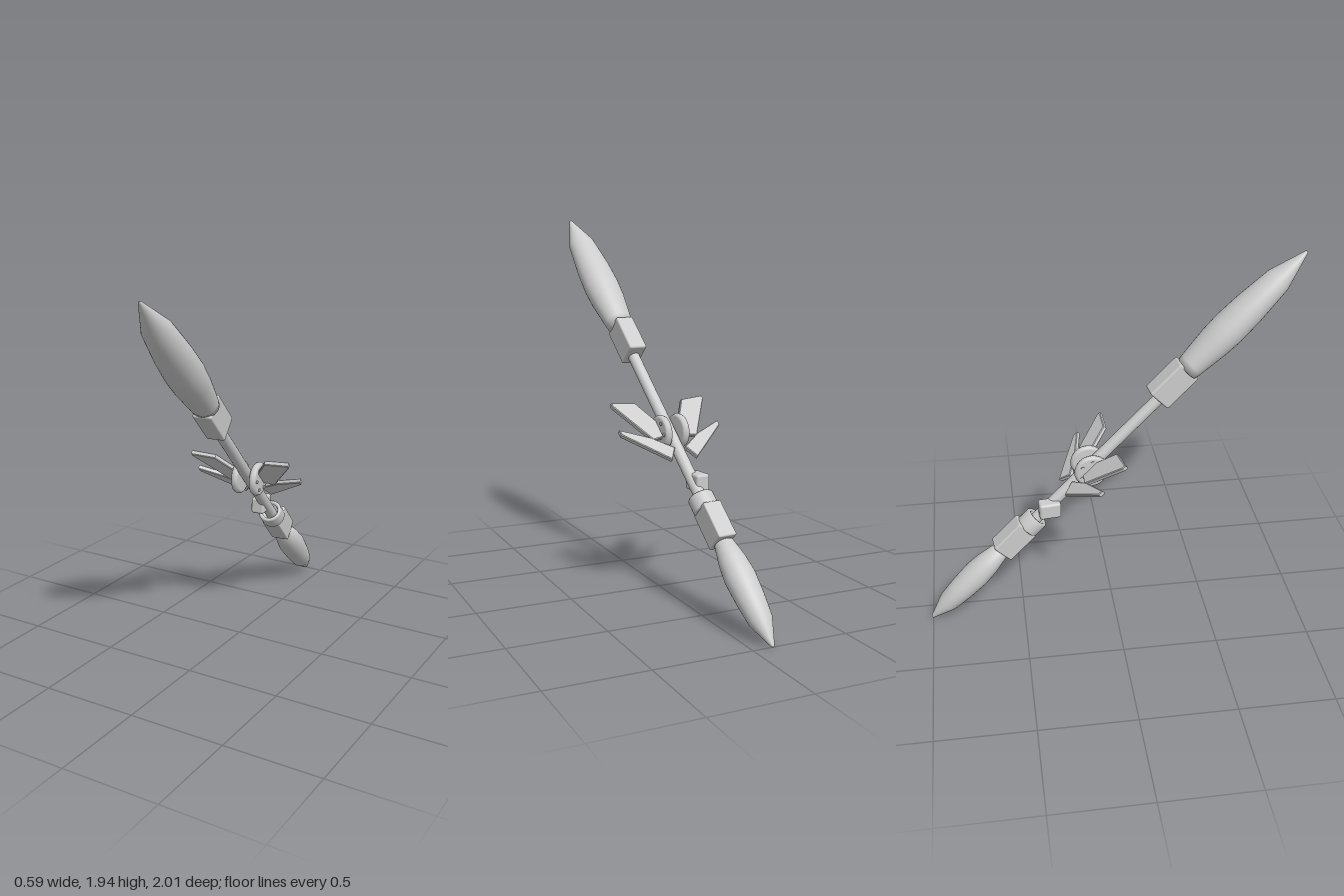
import * as THREE from 'three';
import { RoundedBoxGeometry } from 'three/addons/geometries/RoundedBoxGeometry.js';

const grey = new THREE.MeshStandardMaterial({ color: 0xcccccc });
grey.name = 'light grey';

function part(parent, name, geometry, x = 0, y = 0, z = 0) {
  const mesh = new THREE.Mesh(geometry, grey);
  mesh.name = name;
  mesh.position.set(x, y, z);
  parent.add(mesh);
  return mesh;
}

const lathe = (points, segments = 32) =>
  new THREE.LatheGeometry(points.map(([r, y]) => new THREE.Vector2(r, y)), segments);

// Flat plate in the x-y plane, centred on z = 0, with a small bevel
function plate(points) {
  const shape = new THREE.Shape(points.map(([x, y]) => new THREE.Vector2(x, y)));
  return new THREE.ExtrudeGeometry(shape, {
    depth: 0.018, bevelThickness: 0.004, bevelSize: 0.004, bevelOffset: -0.004, bevelSegments: 1,
  }).translate(0, 0, -0.009);
}

export function createModel() {
  const model = new THREE.Group();
  model.name = 'doubleBladedStaff';

  // The staff is built upright along y, then pitched forward and turned
  const staff = new THREE.Group();
  staff.name = 'staff';
  staff.rotation.set(0.804, 0.105, 0, 'YXZ');
  staff.position.set(0.005, 0.97, 0);
  model.add(staff);

  part(staff, 'pole', new THREE.CylinderGeometry(0.031, 0.031, 1.02, 24), 0, -0.13, 0);

  // Upper blade and its socket
  part(staff, 'upperBlade', lathe([
    [0, 0.54], [0.07, 0.56], [0.077, 0.6], [0.096, 0.76], [0.101, 0.86],
    [0.095, 1.0], [0.075, 1.2], [0.009, 1.392], [0, 1.397],
  ]).scale(1, 1, 0.87), 0, 0, -0.01);
  part(staff, 'upperSocket', new RoundedBoxGeometry(0.102, 0.22, 0.136, 2, 0.01), 0, 0.46, -0.013);

  // Lower blade, socket and collar
  part(staff, 'lowerBlade', lathe([
    [0, -1.397], [0.009, -1.392], [0.06, -1.26], [0.072, -1.15], [0.079, -1.03],
    [0.07, -0.94], [0.05, -0.84], [0, -0.81],
  ]).scale(1, 1, 0.93), 0, 0, -0.01);
  part(staff, 'lowerSocket', new RoundedBoxGeometry(0.102, 0.2, 0.124, 2, 0.008), 0, -0.735, -0.01);
  part(staff, 'collar', lathe([
    [0.044, -0.6], [0.044, -0.645], [0.06, -0.645], [0.066, -0.638], [0.066, -0.567],
    [0.06, -0.56], [0.05, -0.56], [0.044, -0.566], [0.044, -0.6], [0, -0.6],
  ]));

  // Grip block, set at an angle across the pole
  part(staff, 'gripBlock', new RoundedBoxGeometry(0.075, 0.09, 0.115, 3, 0.014), -0.025, -0.473, 0)
    .rotation.x = -0.804;

  // One hub disc with studs and two swept fins on each side
  const discProfile = [
    [0, -0.02], [0.074, -0.02], [0.085, -0.015], [0.091, 0],
    [0.085, 0.015], [0.074, 0.02], [0, 0.02],
  ];
  const finShapes = {
    upperFin: [[0.05, -0.2], [0.13, -0.215], [0.275, 0.015], [0.275, 0.035], [0.14, 0.022], [0.05, -0.13]],
    lowerFin: [[0.03, -0.275], [0.075, -0.345], [0.295, -0.165], [0.295, -0.135], [0.14, -0.2]],
  };
  for (const side of [1, -1]) {
    const label = side > 0 ? 'left' : 'right';
    const hub = new THREE.Group();
    hub.name = label + 'Hub';
    hub.position.set(side * 0.051, -0.159, -0.003);
    hub.rotation.z = -side * Math.PI / 2;
    staff.add(hub);
    part(hub, 'hubDisc', lathe(discProfile));
    for (let i = 0; i < 6; i++) {
      const a = i * Math.PI / 3 + 0.3;
      part(hub, 'hubStud', new THREE.CylinderGeometry(0.01, 0.01, 0.006, 12),
        0.06 * Math.cos(a), 0.021, 0.06 * Math.sin(a));
    }
    for (const [name, points] of Object.entries(finShapes)) {
      const outline = points.map(([x, y]) => [side * x, y]);
      part(staff, label + name[0].toUpperCase() + name.slice(1), plate(outline), 0, 0, -0.016);
    }
  }
  return model;
}
